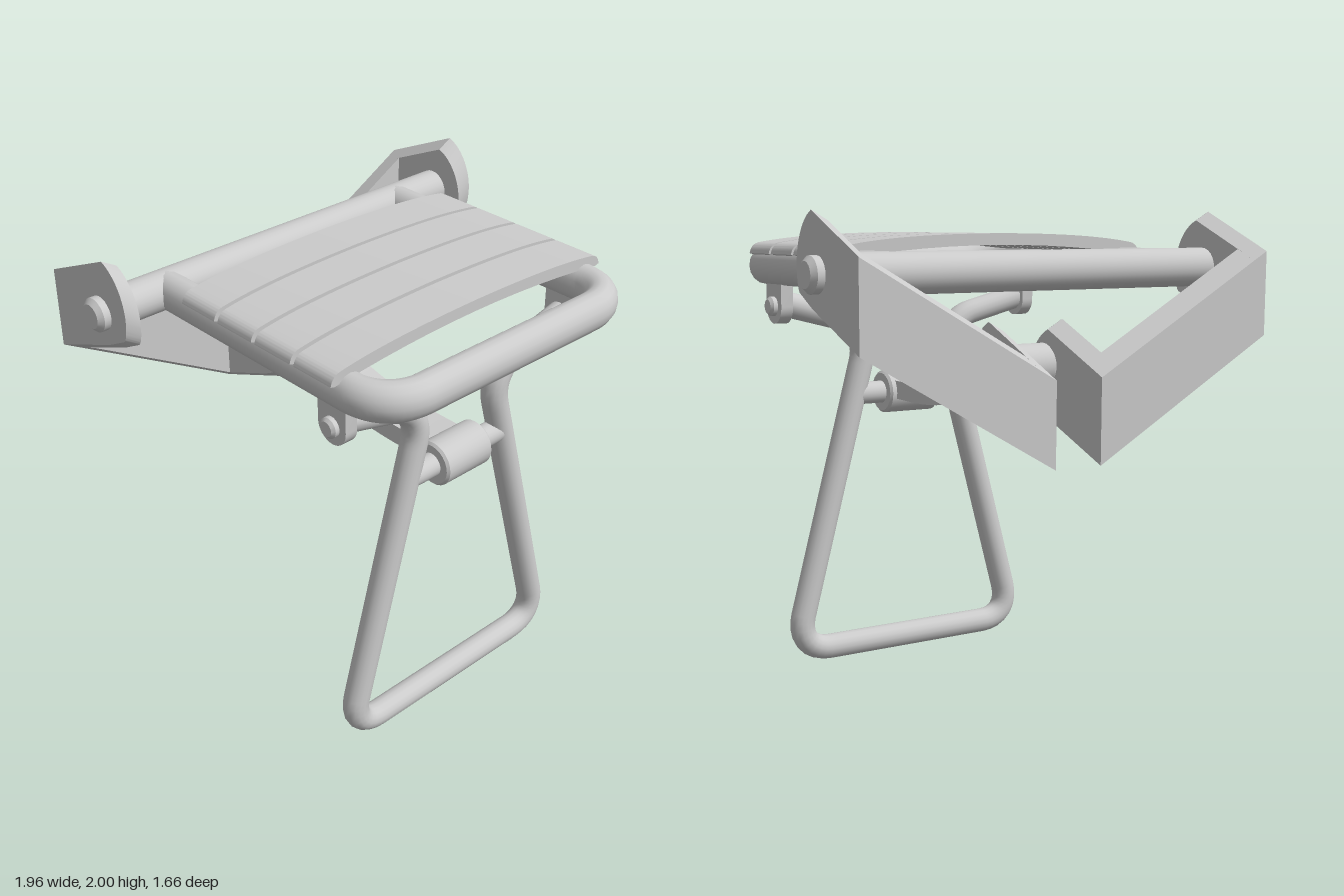
import * as THREE from 'three';
import { toCreasedNormals } from 'three/addons/utils/BufferGeometryUtils.js';

const grey = new THREE.MeshStandardMaterial({ color: 0xcccccc });
const V = (x, y, z) => new THREE.Vector3(x, y, z);

function part(parent, name, geometry) {
  const mesh = new THREE.Mesh(geometry, grey);
  mesh.name = name;
  parent.add(mesh);
  return mesh;
}

// Rod along x with chamfered ends
function rod(x0, x1, r, y, z, c = 0.01) {
  const profile = [[0, x0], [r - c, x0], [r, x0 + c], [r, x1 - c], [r - c, x1], [0, x1]]
    .map(p => new THREE.Vector2(...p));
  const g = new THREE.LatheGeometry(profile, 24);
  g.rotateZ(-Math.PI / 2).translate(0, y, z);
  return toCreasedNormals(g, 0.6);
}

// Shape drawn in (z, y), extruded from x0 to x1, optionally sheared along x
function sidePlate(shape, x0, x1, shear = 0, xRef = 0) {
  const g = new THREE.ExtrudeGeometry(shape, { depth: x1 - x0, bevelEnabled: false, curveSegments: 12 });
  g.rotateY(-Math.PI / 2).translate(x1, 0, 0);
  const p = g.attributes.position;
  for (let i = 0; i < p.count; i++) p.setY(i, p.getY(i) + shear * (p.getX(i) - xRef));
  return toCreasedNormals(g, 0.5);
}

// Round tube through points, with the inner corners rounded off
function bentTube(points, cut, radius) {
  const path = new THREE.CurvePath();
  let last = points[0];
  for (let i = 1; i < points.length - 1; i++) {
    const p = points[i];
    const a = p.clone().add(points[i - 1].clone().sub(p).setLength(cut));
    const b = p.clone().add(points[i + 1].clone().sub(p).setLength(cut));
    const k = 0.6;
    path.add(new THREE.LineCurve3(last, a));
    path.add(new THREE.CubicBezierCurve3(a, a.clone().lerp(p, k), b.clone().lerp(p, k), b));
    last = b;
  }
  path.add(new THREE.LineCurve3(last, points[points.length - 1]));
  return new THREE.TubeGeometry(path, 160, radius, 16, false);
}

export function createModel() {
  const model = new THREE.Group();
  model.name = 'foldingWallSeat';

  // Wall brackets: slanting channels with two ears each
  const ear = new THREE.Shape();
  ear.moveTo(-0.83, 1.5);
  ear.lineTo(-0.47, 1.645);
  ear.lineTo(-0.365, 1.7);
  ear.quadraticCurveTo(-0.345, 1.72, -0.342, 1.79);
  ear.bezierCurveTo(-0.34, 1.88, -0.39, 1.97, -0.47, 2);
  ear.lineTo(-0.83, 1.84);
  ear.closePath();
  const web = new THREE.Shape([[-0.83, 1.5], [-0.73, 1.54], [-0.73, 1.884], [-0.83, 1.84]]
    .map(p => new THREE.Vector2(...p)));
  for (const s of [1, -1]) {
    const bracket = new THREE.Group();
    bracket.name = s > 0 ? 'leftWallBracket' : 'rightWallBracket';
    const slope = 0.566;
    part(bracket, 'outerEar', sidePlate(ear, 0.865, 0.93, slope, 0.93));
    part(bracket, 'innerEar', sidePlate(ear, 0.105, 0.175, slope, 0.93));
    part(bracket, 'wallPlate', sidePlate(web, 0.175, 0.865, slope, 0.93));
    bracket.scale.x = s;
    model.add(bracket);
  }

  // Hinge bar and its end caps
  part(model, 'hingeBar', rod(-0.92, 0.92, 0.08, 1.77, -0.51));
  part(model, 'hingePin', rod(-0.98, 0.98, 0.07, 1.77, -0.51, 0.02));

  // U-shaped seat frame, slightly taller than wide
  const frame = bentTube([V(0.625, 0, -0.5), V(0.625, 0, 0.76), V(-0.625, 0, 0.76), V(-0.625, 0, -0.5)], 0.18, 0.07);
  frame.scale(1, 1.14, 1).translate(0, 1.77, 0);
  part(model, 'seatFrame', frame);

  // Arched slats
  const slat = new THREE.Shape();
  slat.moveTo(-0.7, 1.82);
  slat.quadraticCurveTo(0, 1.91, 0.7, 1.82);
  slat.lineTo(0.717, 1.825);
  slat.quadraticCurveTo(0.71, 1.865, 0.67, 1.872);
  slat.quadraticCurveTo(0.45, 1.91, 0, 1.912);
  slat.quadraticCurveTo(-0.45, 1.91, -0.67, 1.872);
  slat.quadraticCurveTo(-0.71, 1.865, -0.717, 1.825);
  slat.closePath();
  for (let i = 0; i < 4; i++) {
    const g = new THREE.ExtrudeGeometry(slat, { depth: 0.198, bevelEnabled: false, curveSegments: 12 });
    g.translate(0, 0, -0.272 + i * 0.218);
    part(model, 'seatSlat', toCreasedNormals(g, 0.5));
  }

  // Bent tube leg
  const side = [[0.62, 1.615], [0.185, 1.505], [0.575, 0.055]];
  part(model, 'leg', bentTube([
    ...side.map(([x, y]) => V(x, y, 0.5)),
    ...side.slice().reverse().map(([x, y]) => V(-x, y, 0.5)),
  ], 0.17, 0.055));

  // Tabs and pins hanging the leg from the seat frame
  const tab = new THREE.Shape();
  tab.moveTo(0.575, 1.76);
  tab.lineTo(0.425, 1.76);
  tab.lineTo(0.425, 1.6);
  tab.absarc(0.5, 1.6, 0.075, Math.PI, Math.PI * 2, false);
  tab.closePath();
  for (const s of [1, -1]) {
    const x0 = s > 0 ? 0.59 : -0.645;
    part(model, 'legTab', sidePlate(tab, x0, x0 + 0.055));
    part(model, 'legPin', rod(s > 0 ? 0.57 : -0.675, s > 0 ? 0.675 : -0.57, 0.042, 1.6, 0.5, 0.012));
  }

  // Pivots at both ends of the brace
  part(model, 'legCrossPin', rod(-0.27, 0.27, 0.05, 1.2, 0.5));
  part(model, 'legCollar', rod(-0.127, 0.127, 0.095, 1.2, 0.5));
  part(model, 'wallCrossPin', rod(-0.225, 0.225, 0.053, 1.39, -0.46, 0.02));
  part(model, 'wallCollar', rod(-0.1, 0.1, 0.09, 1.39, -0.46));

  // Curved brace from the leg to the wall brackets
  const brace = new THREE.Shape();
  brace.moveTo(0.5, 1.175);
  brace.lineTo(0.5, 1.255);
  brace.lineTo(0.4, 1.255);
  brace.bezierCurveTo(0.1, 1.25, -0.05, 1.275, -0.46, 1.42);
  brace.lineTo(-0.46, 1.325);
  brace.bezierCurveTo(-0.06, 1.18, 0.08, 1.165, 0.4, 1.175);
  brace.closePath();
  part(model, 'brace', sidePlate(brace, -0.097, 0.097));

  return model;
}
